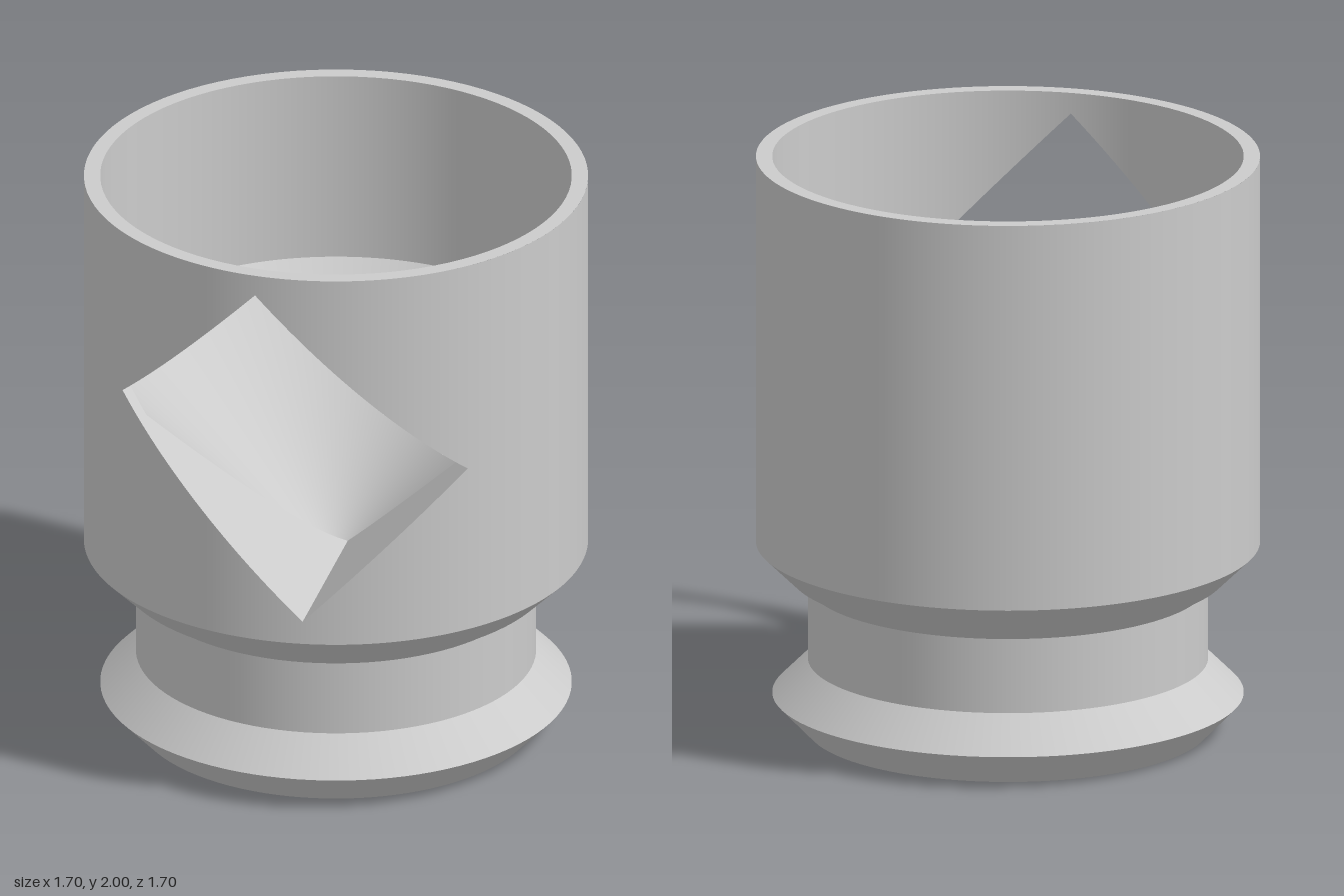
import * as THREE from 'three';

// Diamond window: limits on u = x + y and v = y - x, seen from the front
const U = [0.815, 1.845], V = [0.65, 2.01];
const corner = (u, v) => [(u - v) / 2, (u + v) / 2];
const CORNERS = [corner(U[0], V[1]), corner(U[0], V[0]), corner(U[1], V[0]), corner(U[1], V[1])];

const R_OUT = 0.85, R_IN = 0.795, FLOOR_Y = 1.33, APEX_Y = 0.535;

// Closed profile [radius, y], from the blind hole round the outside to the funnel tip.
// Each name belongs to the surface that starts at that point.
const PROFILE = [
  [0, 0.4, 'holeCeiling'],
  [0.245, 0.4, 'holeWall'],
  [0.245, 0, 'baseFace'],
  [0.68, 0, 'flangeLower'],
  [0.795, 0.12, 'flangeUpper'],
  [0.675, 0.24, 'neck'],
  [0.675, 0.5, 'neckChamfer'],
  [0.715, 0.54, 'bodyStep'],
  [0.738, 0.54, 'bodyChamfer'],
  [R_OUT, 0.65, 'outerWall', true],
  [R_OUT, 2, 'rim'],
  [R_IN, 2, 'innerWall', true],
  [R_IN, FLOOR_Y, 'funnelFloor', true],
  [0, APEX_Y],
];

const clamp = (t) => Math.min(1, Math.max(0, t));

// Part of the segment p0-p1, turned to the angle, that lies inside the window
function windowSpan(p0, p1, angle) {
  if (Math.abs(angle) > 1.4) return [0.5, 0.5];
  const s = Math.sin(angle);
  let t0 = -1e6, t1 = 1e6;
  for (const [sign, [lo, hi]] of [[1, U], [-1, V]]) {
    const f0 = p0[1] + sign * p0[0] * s;
    const df = p1[1] + sign * p1[0] * s - f0;
    const a = (lo - f0) / df, b = (hi - f0) / df;
    t0 = Math.max(t0, Math.min(a, b));
    t1 = Math.min(t1, Math.max(a, b));
  }
  if (t0 > t1) t0 = t1 = (t0 + t1) / 2;
  return [clamp(t0), clamp(t1)];
}

// Angles round the axis, plus those where window corners meet the surface
function angleList(p0, p1, cut) {
  const n = cut ? 288 : 96;
  const list = Array.from({ length: n + 1 }, (_, i) => -Math.PI + (i * 2 * Math.PI) / n);
  if (cut) {
    const crossings = [[U[0] - FLOOR_Y, FLOOR_Y], [U[1] - FLOOR_Y, FLOOR_Y]];
    for (const [x, y] of [...CORNERS, ...crossings]) {
      const r = p0[0] + ((p1[0] - p0[0]) * (y - p0[1])) / (p1[1] - p0[1]);
      if (r > Math.abs(x)) list.push(Math.asin(x / r));
    }
  }
  return list.sort((a, b) => a - b);
}

// Turn one profile segment round the axis, leaving out the window
function sweep(p0, p1, cut) {
  const pos = [], nor = [];
  const dr = p1[0] - p0[0], dy = p1[1] - p0[1], len = Math.hypot(dr, dy);
  const put = (angle, t) => {
    const s = Math.sin(angle), c = Math.cos(angle), r = p0[0] + dr * t;
    pos.push(r * s, p0[1] + dy * t, r * c);
    nor.push((dy * s) / len, -dr / len, (dy * c) / len);
  };
  const angles = angleList(p0, p1, cut);
  for (let i = 0; i < angles.length - 1; i++) {
    const a = angles[i], b = angles[i + 1];
    const sa = cut ? windowSpan(p0, p1, a) : [1, 1];
    const sb = cut ? windowSpan(p0, p1, b) : [1, 1];
    for (const [a0, a1, b0, b1] of [[0, sa[0], 0, sb[0]], [sa[1], 1, sb[1], 1]]) {
      if (a1 - a0 < 1e-9 && b1 - b0 < 1e-9) continue;
      put(a, a0); put(b, b0); put(b, b1);
      put(a, a0); put(b, b1); put(a, a1);
    }
  }
  const g = new THREE.BufferGeometry();
  g.setAttribute('position', new THREE.Float32BufferAttribute(pos, 3));
  g.setAttribute('normal', new THREE.Float32BufferAttribute(nor, 3));
  return g;
}

// Flat side of the window, reaching from the outer wall to the inner wall or funnel
function windowSide([x0, y0], [x1, y1]) {
  const steps = Array.from({ length: 49 }, (_, i) => i / 48);
  const k = (FLOOR_Y - y0) / (y1 - y0);
  if (k > 0 && k < 1) steps.push(k);
  steps.sort((a, b) => a - b);
  const pos = [], index = [];
  steps.forEach((t, i) => {
    const x = x0 + (x1 - x0) * t, y = y0 + (y1 - y0) * t;
    const inner = Math.min(R_IN, y - APEX_Y);
    pos.push(x, y, Math.sqrt(R_OUT ** 2 - x * x));
    pos.push(x, y, Math.sqrt(Math.max(0, inner ** 2 - x * x)));
    if (i) {
      const j = 2 * i;
      index.push(j - 2, j, j - 1, j, j + 1, j - 1);
    }
  });
  const g = new THREE.BufferGeometry();
  g.setAttribute('position', new THREE.Float32BufferAttribute(pos, 3));
  g.setIndex(index);
  g.computeVertexNormals();
  return g;
}

export function createModel() {
  const group = new THREE.Group();
  group.name = 'cup';
  const solid = new THREE.MeshStandardMaterial({ color: 0xcccccc });
  const sheet = new THREE.MeshStandardMaterial({ color: 0xcccccc, side: THREE.DoubleSide });
  const add = (name, geometry, material) => {
    const mesh = new THREE.Mesh(geometry, material);
    mesh.name = name;
    group.add(mesh);
  };

  // Turned body
  for (let i = 0; i < PROFILE.length - 1; i++) {
    const [, , name, cut] = PROFILE[i];
    add(name, sweep(PROFILE[i], PROFILE[i + 1], cut), solid);
  }

  // Four sides of the window
  CORNERS.forEach((c, i) => add('windowSide' + (i + 1), windowSide(c, CORNERS[(i + 1) % 4]), sheet));

  return group;
}
